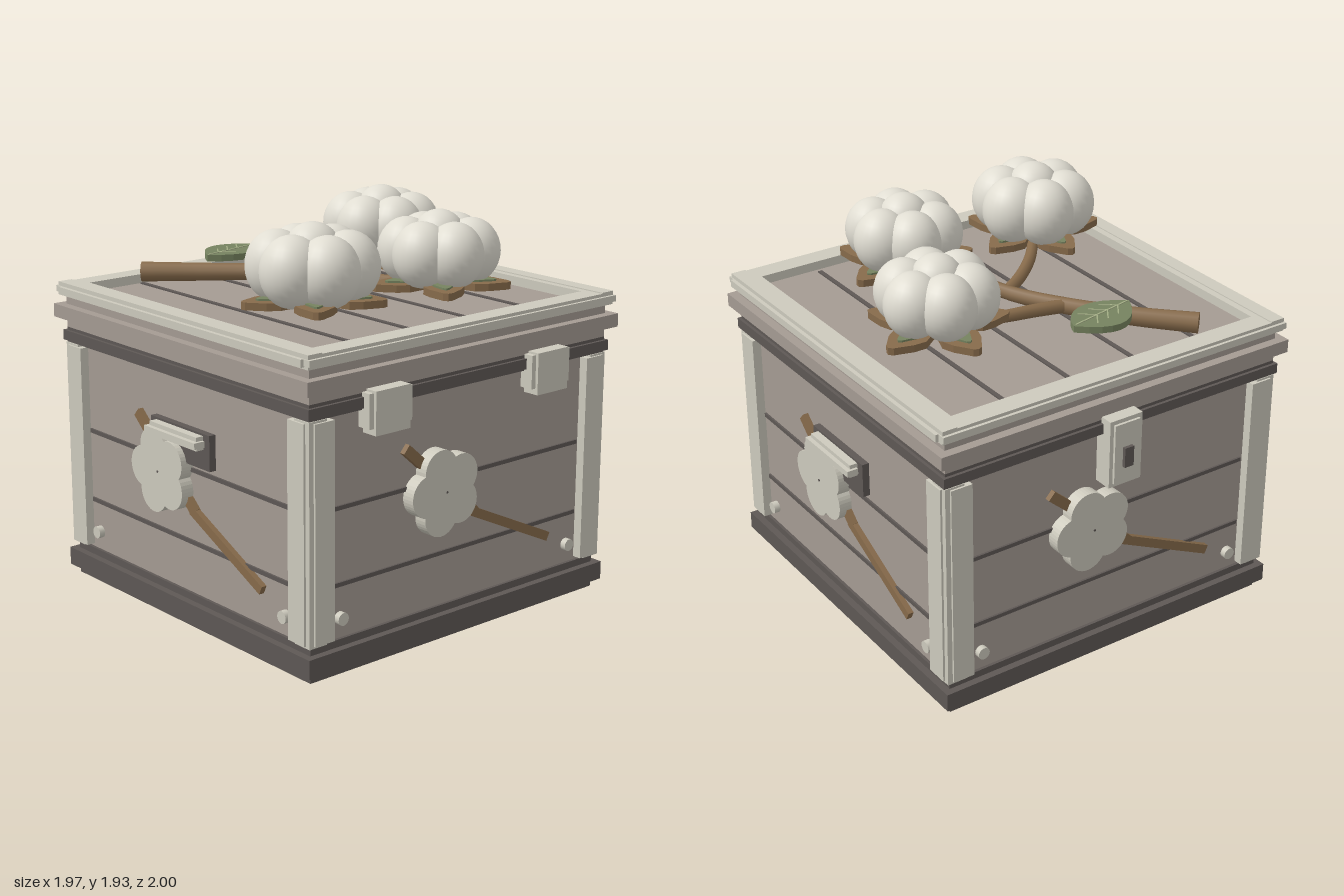
import * as THREE from 'three';

const mat = (name, color) => {
  const m = new THREE.MeshStandardMaterial({ color });
  m.name = name;
  return m;
};

export function createModel() {
  const cream = mat('cream trim', 0xcdcabd), panel = mat('taupe panel', 0xa59b93);
  const dark = mat('dark iron', 0x5e5855), cotton = mat('cotton white', 0xe0ddd2);
  const wood = mat('twig brown', 0x876b4b), green = mat('leaf green', 0x76835f);
  const veinMat = mat('vein green', 0xa3ad85);

  const model = new THREE.Group();
  const chest = new THREE.Group();
  chest.name = 'chest';
  chest.position.z = 0.015;
  model.add(chest);

  const add = (parent, name, geo, material, x = 0, y = 0, z = 0) => {
    const m = new THREE.Mesh(geo, material);
    m.name = name;
    m.position.set(x, y, z);
    parent.add(m);
    return m;
  };
  // box given by its minimum and maximum corners
  const box = (parent, name, material, x0, x1, y0, y1, z0, z1) =>
    add(parent, name, new THREE.BoxGeometry(x1 - x0, y1 - y0, z1 - z0), material,
      (x0 + x1) / 2, (y0 + y1) / 2, (z0 + z1) / 2);
  // square slab centred on the chest axis
  const slab = (name, material, half, y0, y1) => box(chest, name, material, -half, half, y0, y1, -half, half);
  // flat bar between two points in the xy plane
  const bar = (parent, name, material, a, b, width, depth, z) => {
    const dx = b[0] - a[0], dy = b[1] - a[1];
    const m = add(parent, name, new THREE.BoxGeometry(Math.hypot(dx, dy), width, depth), material,
      (a[0] + b[0]) / 2, (a[1] + b[1]) / 2, z);
    m.rotation.z = Math.atan2(dy, dx);
    return m;
  };

  // Base, body and lid layers
  slab('base', dark, 0.905, 0, 0.165);
  slab('baseBand', dark, 0.94, 0.04, 0.13);
  slab('body', panel, 0.89, 0.165, 1.2);
  slab('rimBand', dark, 0.92, 1.2, 1.275);
  slab('rimBandOuter', dark, 0.935, 1.21, 1.26);
  slab('lid', panel, 0.92, 1.275, 1.45);
  slab('lidBand', panel, 0.965, 1.325, 1.39);

  // Corner posts: two boards around a core
  for (const sx of [-1, 1]) for (const sz of [-1, 1]) {
    const post = new THREE.Group();
    post.name = 'cornerPost';
    const part = (cx, cz, w, d, y0, y1) =>
      add(post, 'postBoard', new THREE.BoxGeometry(w, y1 - y0, d), cream, sx * cx, (y0 + y1) / 2, sz * cz);
    part(0.845, 0.865, 0.11, 0.14, 0.18, 1.19);
    part(0.865, 0.845, 0.14, 0.11, 0.18, 1.19);
    part(0.875, 0.875, 0.1, 0.1, 0.17, 1.2);
    chest.add(post);
  }

  // Lid frame rails, stepped
  for (const s of [-1, 1]) {
    const rail = (along, lo, hi, y0, y1, len) => {
      const w = hi - lo, c = s * (lo + hi) / 2;
      const g = along === 'x' ? [len * 2, y1 - y0, w] : [w, y1 - y0, len * 2];
      add(chest, 'lidRail', new THREE.BoxGeometry(...g), cream,
        along === 'x' ? 0 : c, (y0 + y1) / 2, along === 'x' ? c : 0);
    };
    rail('x', 0.84, 0.945, 1.435, 1.495, 0.915);
    rail('x', 0.86, 0.96, 1.45, 1.48, 0.95);
    rail('z', 0.835, 0.92, 1.435, 1.495, 0.92);
    rail('z', 0.87, 0.945, 1.435, 1.5, 0.945);
    rail('z', 0.88, 0.965, 1.445, 1.48, 0.92);
  }
  // Plank seams on the lid
  for (const x of [-0.535, -0.18, 0.175, 0.53])
    box(chest, 'lidSeam', dark, x - 0.011, x + 0.011, 1.45, 1.457, -0.825, 0.81);

  // Five-lobed flower outline
  const flower = new THREE.Shape();
  for (let i = 0; i < 80; i++) {
    const t = i / 80 * Math.PI * 2;
    const d = ((t + Math.PI / 5) % (Math.PI * 0.4)) - Math.PI / 5;
    const r = 0.11 * Math.cos(d) + Math.sqrt(0.01 - (0.11 * Math.sin(d)) ** 2);
    const a = t + Math.PI;
    flower[i ? 'lineTo' : 'moveTo'](r * Math.cos(a), r * Math.sin(a));
  }
  const flowerGeo = new THREE.ExtrudeGeometry(flower, { depth: 0.065, bevelEnabled: false });
  const boltGeo = new THREE.CylinderGeometry(0.03, 0.03, 0.04, 16).rotateX(Math.PI / 2);

  // Four decorated sides
  const sides = ['front', 'right', 'back', 'left'].map((name, i) => {
    const side = new THREE.Group();
    side.name = name + 'Side';
    side.rotation.y = i * Math.PI / 2;
    for (const y of [0.418, 0.773]) box(side, 'plankSeam', dark, -0.78, 0.775, y - 0.01, y + 0.01, 0.885, 0.9);
    for (const x of [-0.725, 0.725]) add(side, 'bolt', boltGeo, cream, x, 0.26, 0.9);
    bar(side, 'twigUpper', wood, [-0.355, 0.965], [0.085, 0.575], 0.05, 0.035, 0.9);
    bar(side, 'twigLower', wood, [0.06, 0.585], [0.575, 0.34], 0.045, 0.035, 0.9);
    add(side, 'flowerRelief', flowerGeo, cream, -0.14, 0.73, 0.89);
    add(side, 'flowerCentre', new THREE.CylinderGeometry(0.006, 0.006, 0.006, 8).rotateX(Math.PI / 2),
      dark, -0.14, 0.73, 0.955);
    chest.add(side);
    return side;
  });

  // Handles on the left and right sides
  for (const side of [sides[1], sides[3]]) {
    box(side, 'handlePlate', dark, -0.225, 0.225, 0.81, 0.98, 0.885, 0.925);
    box(side, 'handleBack', cream, -0.18, 0.18, 0.905, 0.97, 0.92, 0.965);
    box(side, 'handleGrip', cream, -0.195, 0.195, 0.92, 0.95, 0.93, 0.987);
  }
  // Hinges on the front, latch on the back
  for (const x of [-0.5, 0.5]) {
    box(sides[0], 'hingePlate', cream, x - 0.125, x + 0.125, 1.12, 1.28, 0.9, 0.97);
    box(sides[0], 'hingeCover', cream, x - 0.1, x + 0.1, 1.09, 1.29, 0.9, 0.985);
  }
  box(sides[2], 'latchPlate', cream, -0.09, 0.09, 0.95, 1.29, 0.89, 0.985);
  box(sides[2], 'latchFace', cream, -0.07, 0.07, 0.97, 1.27, 0.98, 0.998);
  box(sides[2], 'latchKeyhole', dark, -0.025, 0.025, 1.05, 1.15, 0.99, 1.015);

  // Branch: tapered tubes lying on the lid
  const twig = (name, pts, r0, r1) => {
    const curve = new THREE.CatmullRomCurve3(pts.map(p => new THREE.Vector3(...p)));
    const n = 20, k = 10;
    const geo = new THREE.TubeGeometry(curve, n, 1, k, false);
    const pos = geo.attributes.position, v = new THREE.Vector3();
    for (let i = 0; i <= n; i++) {
      const c = curve.getPointAt(i / n), r = r0 + (r1 - r0) * i / n;
      for (let j = 0; j <= k; j++) {
        const id = i * (k + 1) + j;
        v.fromBufferAttribute(pos, id).sub(c).multiplyScalar(r).add(c);
        pos.setXYZ(id, v.x, v.y, v.z);
      }
    }
    add(model, name, geo, wood);
    const cap = add(model, name + 'End', new THREE.CircleGeometry(r0, k), wood, ...pts[0]);
    const t = curve.getTangentAt(0).negate();
    cap.lookAt(cap.position.clone().add(t));
  };
  twig('mainBranch', [[-0.56, 1.52, -0.775], [-0.35, 1.525, -0.56], [-0.15, 1.535, -0.32],
    [0, 1.54, -0.06], [0.08, 1.55, 0.2], [0.2, 1.565, 0.48]], 0.05, 0.026);
  twig('rightTwig', [[-0.16, 1.535, -0.31], [0.02, 1.545, -0.285], [0.22, 1.555, -0.26], [0.46, 1.57, -0.18]], 0.034, 0.026);
  twig('leftTwig', [[0.01, 1.54, -0.04], [-0.13, 1.545, 0.05], [-0.29, 1.555, 0.19], [-0.46, 1.57, 0.4]], 0.032, 0.026);

  // Flat pieces drawn in xy and laid down
  const flat = (shape, depth) =>
    new THREE.ExtrudeGeometry(shape, { depth, bevelEnabled: false, curveSegments: 10 }).rotateX(-Math.PI / 2);
  const sepalShape = s => {
    const p = [[-0.04, 0.03], [-0.095, 0.19], [-0.075, 0.25], [-0.022, 0.33], [0, 0.342],
      [0.022, 0.33], [0.075, 0.25], [0.095, 0.19], [0.04, 0.03]];
    return new THREE.Shape(p.map(([x, y]) => new THREE.Vector2(x * s, y * (s + 1) / 2)));
  };
  const sepalGeo = flat(sepalShape(1), 0.035), sepalTopGeo = flat(sepalShape(0.6), 0.009);
  const lobeGeo = new THREE.SphereGeometry(1, 24, 16);

  // Cotton bolls
  const boll = (x, z, s, y) => {
    const g = new THREE.Group();
    g.name = 'cottonBoll';
    g.position.set(x, y, z);
    for (let i = 0; i < 5; i++) {
      const a = i * Math.PI * 0.4;
      add(g, 'sepal', sepalGeo, wood).rotation.y = a;
      add(g, 'sepalLining', sepalTopGeo, green, 0, 0.035, 0).rotation.y = a;
    }
    for (let i = 0; i < 6; i++) {
      const a = Math.PI / 4 + i * Math.PI / 3;
      const lobe = add(g, 'cottonLobe', lobeGeo, cotton, 0.16 * s * Math.cos(a), 0.17, 0.16 * s * Math.sin(a));
      lobe.scale.set(0.147 * s, 0.165 * s, 0.147 * s);
    }
    add(g, 'cottonTop', lobeGeo, cotton, 0, 0.24, 0).scale.setScalar(0.13 * s);
    model.add(g);
  };
  boll(-0.475, 0.43, 1, 1.56);
  boll(0.24, 0.495, 0.94, 1.55);
  boll(0.49, -0.185, 0.95, 1.55);

  // Leaf with veins
  const leaf = new THREE.Group();
  leaf.name = 'leaf';
  leaf.position.set(-0.33, 1.575, -0.545);
  leaf.rotation.y = 0.14;
  const outline = new THREE.Shape();
  outline.moveTo(0, 0);
  outline.bezierCurveTo(0.09, 0.14, 0.22, 0.23, 0.375, 0.02);
  outline.bezierCurveTo(0.33, -0.09, 0.17, -0.19, 0, 0);
  add(leaf, 'leafBlade', flat(outline, 0.032), green);
  const veins = new THREE.Group();
  veins.name = 'leafVeins';
  veins.rotation.x = -Math.PI / 2;
  veins.position.y = 0.033;
  bar(veins, 'midVein', veinMat, [0.01, 0], [0.36, 0.018], 0.008, 0.006, 0);
  for (const x of [0.08, 0.15, 0.22]) for (const s of [-1, 1])
    bar(veins, 'sideVein', veinMat, [x, x * 0.05], [x + 0.06, x * 0.05 + s * 0.065], 0.006, 0.006, 0);
  leaf.add(veins);
  model.add(leaf);

  return model;
}
